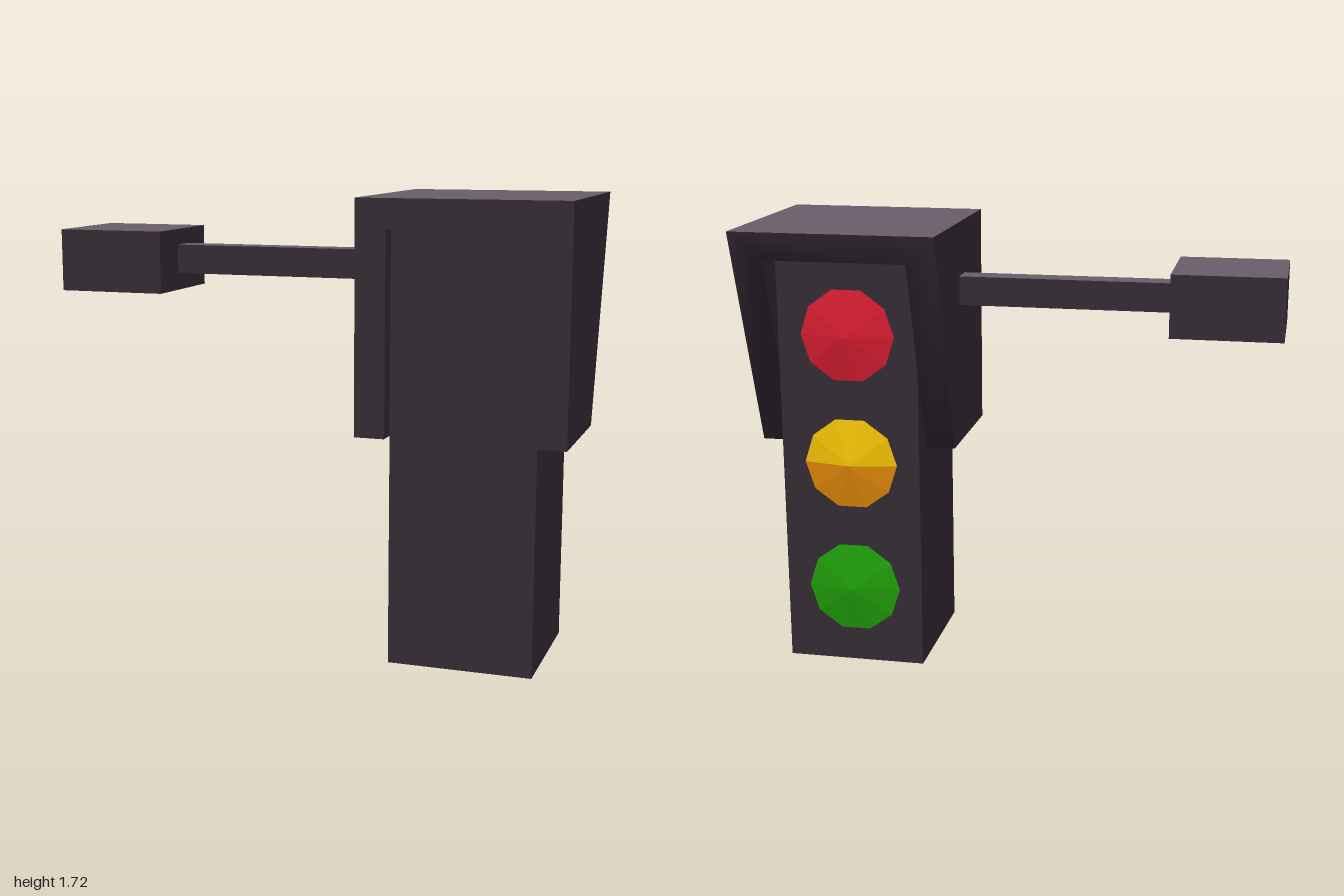
import * as THREE from 'three';
import { toCreasedNormals } from 'three/addons/utils/BufferGeometryUtils.js';

const mat = (name, color) => {
  const m = new THREE.MeshStandardMaterial({ color });
  m.name = name;
  return m;
};

export function createModel() {
  const dark = mat('charcoal', 0x332a33);
  const pale = mat('mauveGrey', 0x685d69);
  const red = mat('red', 0xd01c2f);
  const yellow = mat('yellow', 0xeabc05);
  const orange = mat('orange', 0xdd8508);
  const green = mat('green', 0x1e990a);
  const group = new THREE.Group();

  const add = (name, geometry, material) => {
    const mesh = new THREE.Mesh(geometry, material);
    mesh.name = name;
    group.add(mesh);
    return mesh;
  };

  // Dark box with a pale top, given by its minimum and maximum corners
  const box = (name, [x0, y0, z0], [x1, y1, z1]) =>
    add(name, new THREE.BoxGeometry(x1 - x0, y1 - y0, z1 - z0), [dark, dark, pale, dark, dark, dark])
      .position.set((x0 + x1) / 2, (y0 + y1) / 2, (z0 + z1) / 2);

  box('lampHousing', [0.343, 0, -0.217], [0.883, 1.608, 0.323]);
  box('mountingArm', [-0.585, 1.4, 0], [0.23, 1.51, 0.095]);
  box('mountingBlock', [-1, 1.335, -0.158], [-0.585, 1.57, 0.257]);

  // Hood: an arch around the housing, its lamp-side rim cut on a slant
  const arch = new THREE.Shape([
    [0.23, 0.86], [0.343, 0.86], [0.343, 1.608], [0.883, 1.608],
    [0.883, 0.86], [1, 0.86], [1, 1.715], [0.23, 1.715],
  ].map(([x, y]) => new THREE.Vector2(x, y)));
  const extruded = new THREE.ExtrudeGeometry(arch, { depth: 0.785, bevelEnabled: false });
  extruded.translate(0, 0, -0.393);
  const p = extruded.attributes.position;
  for (let i = 0; i < p.count; i++) {
    if (p.getZ(i) < 0) p.setZ(i, -0.108 - (p.getY(i) - 0.86) / 0.855 * 0.285);
  }
  // The rim blends softly into the undersides; all other edges stay sharp
  const hood = toCreasedNormals(extruded, 1.35);
  hood.clearGroups();
  const n = hood.attributes.normal;
  for (let i = 0; i < n.count; i += 3) hood.addGroup(i, 3, n.getY(i) > 0.9 ? 1 : 0);
  add('hood', hood, [dark, pale]);

  // Lens: a shallow ten-sided cone, split into upper and lower halves
  const lens = (name, y, upper, lower) => {
    const half = (start) => {
      const g = new THREE.ConeGeometry(0.182, 0.038, 5, 1, true, start, Math.PI).toNonIndexed();
      g.rotateX(-Math.PI / 2);
      g.computeVertexNormals();
      return g;
    };
    add(name + 'Upper', half(-Math.PI / 2), upper).position.set(0.613, y, -0.236);
    add(name + 'Lower', half(Math.PI / 2), lower).position.set(0.613, y, -0.236);
  };
  lens('redLens', 1.31, red, red);
  lens('amberLens', 0.81, yellow, orange);
  lens('greenLens', 0.305, green, green);

  return group;
}
